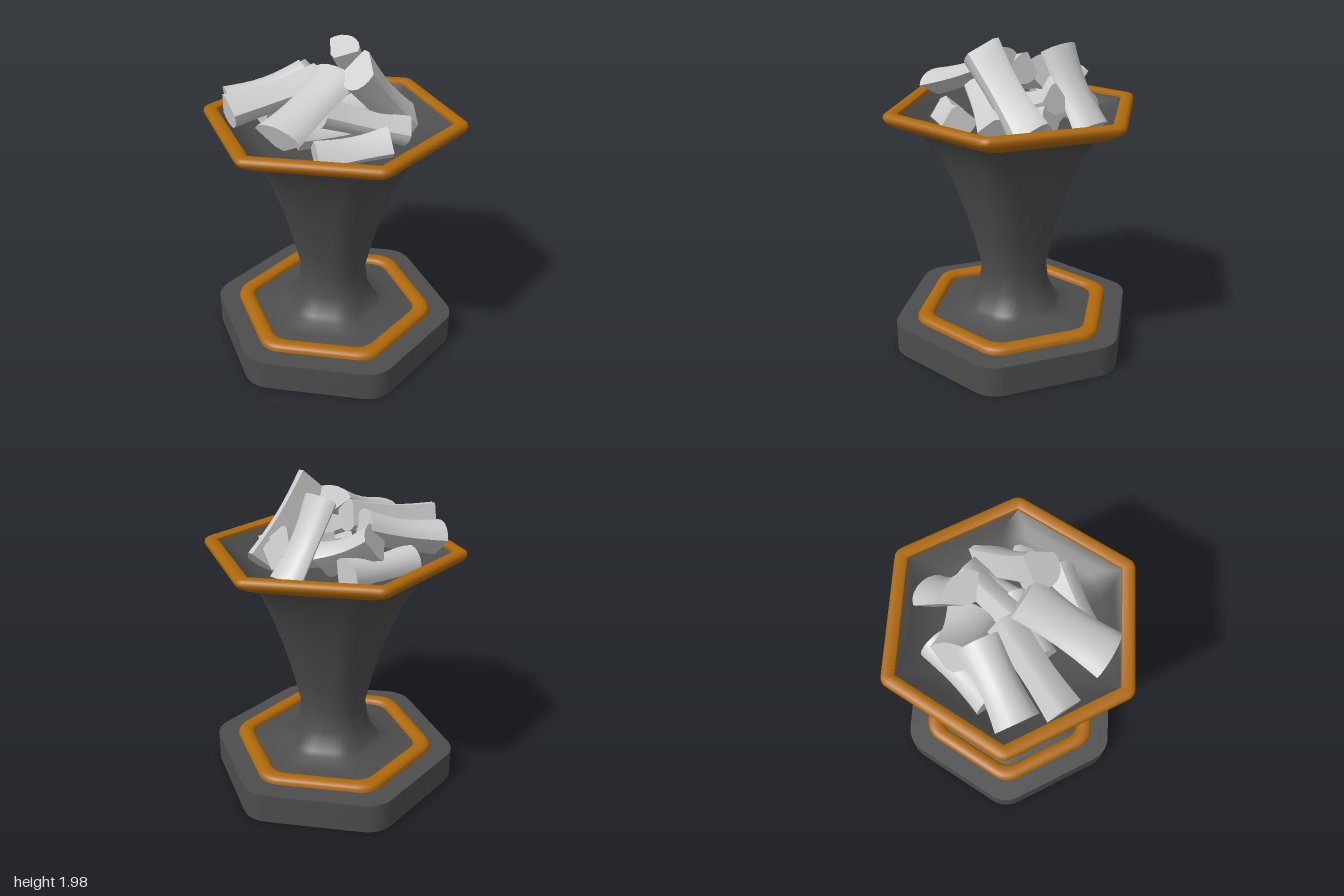
import * as THREE from 'three';
import { toCreasedNormals } from 'three/addons/utils/BufferGeometryUtils.js';

const stone = new THREE.MeshStandardMaterial({ color: 0x4d4d4d, side: THREE.DoubleSide });
const gold = new THREE.MeshStandardMaterial({ color: 0xae680a, side: THREE.DoubleSide });
const wood = new THREE.MeshStandardMaterial({ color: 0xcccccc });

// Joins closed rings of points into one skin, with optional flat caps
function loft(rings, caps, crease) {
  const n = rings[0].length, pos = rings.flat().flatMap((p) => [p.x, p.y, p.z]), idx = [];
  for (let i = 0; i < rings.length - 1; i++) {
    for (let j = 0; j < n; j++) {
      const k = (j + 1) % n, a = i * n, b = a + n;
      idx.push(a + j, a + k, b + k, a + j, b + k, b + j);
    }
  }
  if (caps) {
    const last = (rings.length - 1) * n;
    for (let j = 1; j < n - 1; j++) {
      idx.push(0, j + 1, j);
      idx.push(last, last + j, last + j + 1);
    }
  }
  const g = new THREE.BufferGeometry();
  g.setAttribute('position', new THREE.Float32BufferAttribute(pos, 3));
  g.setIndex(idx);
  return toCreasedNormals(g, crease);
}

// Hexagon ring with rounded corners: apothem a, height y, corner radius r
function hexRing([a, y, r]) {
  const pts = [], steps = 6, c = (a - r) / Math.cos(Math.PI / 6);
  for (let i = 0; i < 6; i++) {
    const mid = (i * Math.PI) / 3;
    for (let k = 0; k <= steps; k++) {
      const t = mid + (k / steps - 0.5) * (Math.PI / 3);
      pts.push(new THREE.Vector3(
        c * Math.sin(mid) + r * Math.sin(t), y, c * Math.cos(mid) + r * Math.cos(t)));
    }
  }
  return pts;
}

// Split log from p to q: rounded bark on one side, a wedge on the other, narrower at the waist
function logGeometry(p, q, w, t, roll) {
  const a = new THREE.Vector3(...p), b = new THREE.Vector3(...q);
  const d = b.clone().sub(a).normalize();
  const u = new THREE.Vector3(0, 1, 0).cross(d).normalize();
  const v = d.clone().cross(u);
  const section = [];
  for (let i = 0; i <= 8; i++) {
    const ang = ((15 + (150 * i) / 8) * Math.PI) / 180;
    section.push([w * Math.cos(ang), t * Math.sin(ang)]);
  }
  section.push([-0.15 * w, -0.8 * t], [0.2 * w, -0.7 * t]);
  const c = Math.cos(roll), s = Math.sin(roll), rings = [];
  for (let i = 0; i <= 8; i++) {
    const f = i / 8, waist = Math.sin(Math.PI * f), k = 1 - 0.15 * waist;
    const centre = a.clone().lerp(b, f).addScaledVector(v, -0.01 * waist);
    rings.push(section.map(([x, y]) => centre.clone()
      .addScaledVector(u, k * (x * c - y * s))
      .addScaledVector(v, k * (x * s + y * c))));
  }
  return loft(rings, true, 0.7);
}

export function createModel() {
  const model = new THREE.Group();
  const add = (name, geo, mat, parent = model) => {
    const m = new THREE.Mesh(geo, mat);
    m.name = name;
    parent.add(m);
  };

  // Foot slab
  add('base', loft([[0.7, 0, 0.18], [0.7, 0.19, 0.18]].map(hexRing), true, 0.6), stone);

  // Half-round trim lying on the foot
  const trim = [];
  for (let i = 0; i <= 10; i++) {
    const t = (i / 10) * Math.PI;
    const a = 0.528 + 0.05 * Math.cos(t);
    trim.push([a, 0.185 + 0.047 * Math.pow(Math.sin(t), 0.6), a * 0.27]);
  }
  add('baseTrim', loft(trim.map(hexRing), false, 1), gold);

  // Flared pedestal: round at the waist, hexagonal at the top
  const stem = [
    [0.5, 0.192, 0.15], [0.4, 0.205, 0.17], [0.3, 0.227, 0.18], [0.27, 0.25, 0.18],
    [0.22, 0.37, 0.17], [0.205, 0.5, 0.17], [0.25, 0.7, 0.19],
    [0.297, 0.88, 0.2], [0.36, 1.07, 0.21], [0.43, 1.25, 0.21], [0.54, 1.44, 0.2], [0.6, 1.5, 0.16],
  ];
  add('pedestal', loft(stem.map(hexRing), false, 1.2), stone);

  // Rim moulding
  const rim = [
    [0.52, 1.438, 0.15], [0.585, 1.443, 0.1], [0.65, 1.473, 0.09], [0.688, 1.5, 0.08],
    [0.7, 1.525, 0.07], [0.695, 1.545, 0.065], [0.68, 1.555, 0.05],
    [0.64, 1.555, 0.01], [0.622, 1.545, 0.005], [0.617, 1.515, 0.005],
  ];
  add('rim', loft(rim.map(hexRing), false, 0.8), gold);

  // Shallow bowl lining, kept inside the pedestal wall
  const bowl = [
    [0.62, 1.53, 0.005], [0.575, 1.49, 0.15], [0.52, 1.45, 0.19], [0.45, 1.415, 0.2],
    [0.3, 1.395, 0.2], [0.001, 1.39, 0.001],
  ];
  add('bowl', loft(bowl.map(hexRing), false, 1.2), stone);

  // Heap of split logs: start, end, half width, half thickness, roll
  const logs = [
    [[0.08, 1.9, 0.21], [0.45, 1.48, 0.05], 0.11, 0.145, 2.9],
    [[0.13, 1.88, -0.21], [0.38, 1.46, -0.32], 0.135, 0.1, 0.1],
    [[-0.56, 1.59, -0.25], [-0.09, 1.7, -0.24], 0.135, 0.12, 0],
    [[-0.63, 1.67, -0.01], [-0.06, 1.76, -0.08], 0.11, 0.11, 2.9],
    [[-0.45, 1.61, 0.36], [0, 1.8, 0.07], 0.16, 0.09, 0.1],
    [[-0.24, 1.49, 0.36], [0.18, 1.53, 0.4], 0.11, 0.1, 3.3],
    [[-0.12, 1.66, 0.18], [0.37, 1.5, 0.25], 0.09, 0.1, 2.9],
    [[0.02, 1.55, 0.02], [0.36, 1.66, -0.12], 0.1, 0.1, 3],
    [[0.08, 1.46, 0.1], [0.39, 1.55, -0.1], 0.1, 0.1, 0],
    [[-0.11, 1.66, -0.4], [0.12, 1.52, -0.2], 0.15, 0.12, 0.2],
    [[0.09, 1.5, -0.43], [-0.36, 1.49, -0.3], 0.11, 0.11, 0.5],
    [[-0.25, 1.45, 0.05], [0.15, 1.47, 0.08], 0.11, 0.11, 0],
  ];
  const heap = new THREE.Group();
  heap.name = 'firewood';
  logs.forEach((l, i) => add(`log${i + 1}`, logGeometry(...l), wood, heap));
  model.add(heap);
  return model;
}
